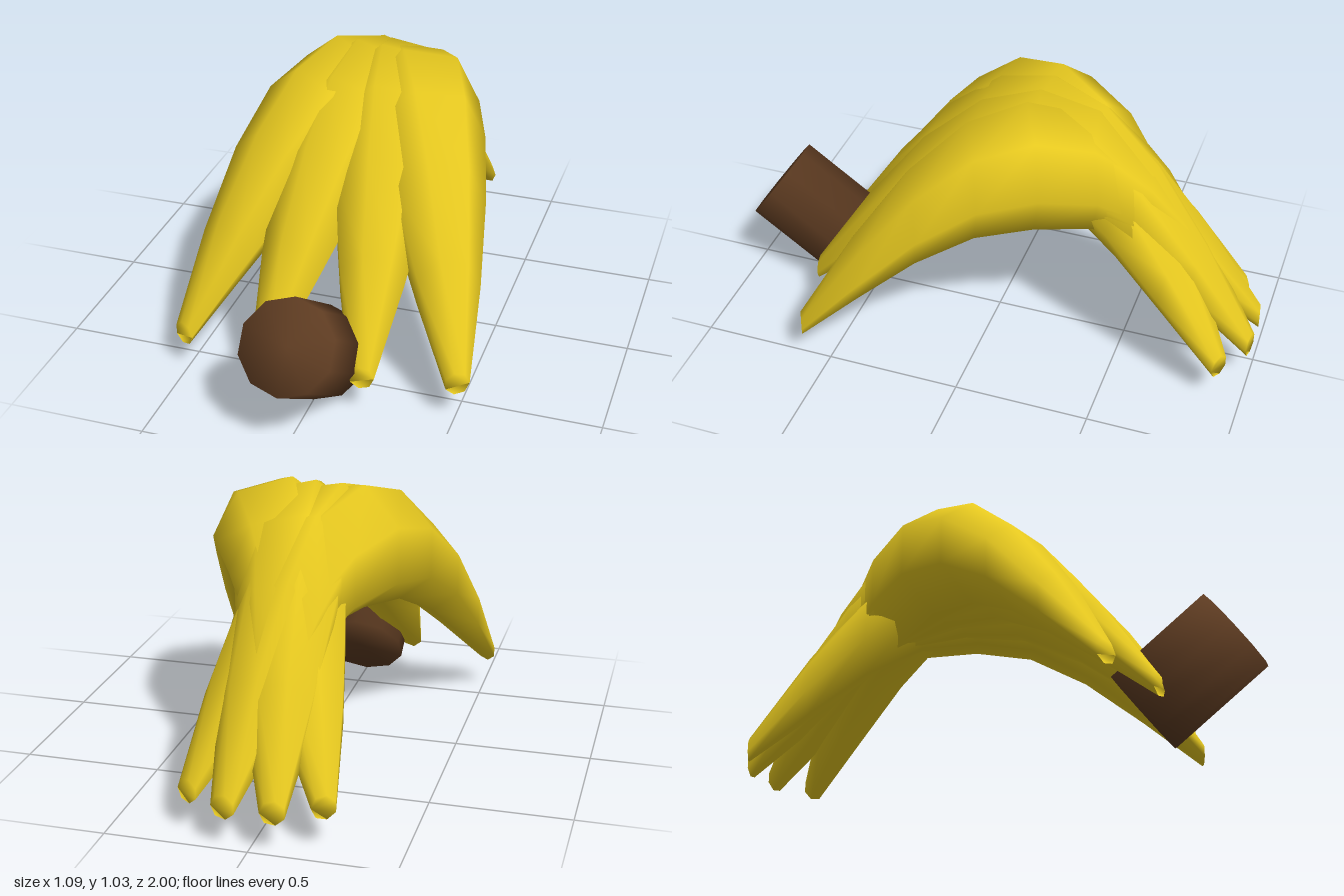
import * as THREE from 'three';
import { mergeVertices } from 'three/addons/utils/BufferGeometryUtils.js';

const SIDES = 7;

// half of the arch: [distance from middle, height, radius]
const HALF = [
  [0, 0.80, 0.232],
  [0.211, 0.756, 0.212],
  [0.422, 0.613, 0.174],
  [0.633, 0.397, 0.118],
  [0.844, 0.148, 0.044],
];

// arched fruit: upright seven-sided rings along z, closed by flat tips
function fruitGeometry() {
  const rings = [...HALF.slice(1).reverse().map(([s, y, r]) => [-s, y, r]), ...HALF];
  const pos = [];
  const index = [];
  for (const [z, y, r] of rings) {
    for (let j = 0; j < SIDES; j++) {
      const a = (j / SIDES) * Math.PI * 2;
      pos.push(Math.cos(a) * r, y + Math.sin(a) * r, z);
    }
  }
  const last = (rings.length - 1) * SIDES;
  for (let j = 0; j < SIDES; j++) {
    const n = (j + 1) % SIDES;
    for (let i = 0; i < last; i += SIDES) {
      index.push(i + j, i + n, i + SIDES + j, i + n, i + SIDES + n, i + SIDES + j);
    }
  }
  for (let j = 1; j < SIDES - 1; j++) {
    index.push(0, j + 1, j, last, last + j, last + j + 1);
  }
  const geo = new THREE.BufferGeometry();
  geo.setAttribute('position', new THREE.Float32BufferAttribute(pos, 3));
  geo.setIndex(index);
  geo.computeVertexNormals();
  return geo;
}

// ten-sided stub, shaded softly with rim normals halfway between side and cap
function stemGeometry() {
  let geo = new THREE.CylinderGeometry(0.169, 0.169, 0.43, 10);
  geo.deleteAttribute('normal');
  geo.deleteAttribute('uv');
  geo = mergeVertices(geo);
  geo.setAttribute('normal', geo.clone().scale(1, 0.78, 1).attributes.position);
  geo.normalizeNormals();
  return geo;
}

export function createModel() {
  const yellow = new THREE.MeshStandardMaterial({ color: 0xe6c81f });
  yellow.name = 'ripe yellow';
  const brown = new THREE.MeshStandardMaterial({ color: 0x5d3b21 });
  brown.name = 'stem brown';

  const model = new THREE.Group();
  model.name = 'fruitBunch';

  // four fruits fanned out, crossing near the back
  const geo = fruitGeometry();
  const fan = [
    ['innerFruit', 0.05, -0.16, 0.16],
    ['outerFruit', 0.136, -0.153, 0.455],
  ];
  for (const side of [-1, 1]) {
    for (const [name, x, z, turn] of fan) {
      const fruit = new THREE.Mesh(geo, yellow);
      fruit.name = (side > 0 ? 'left ' : 'right ') + name;
      fruit.position.set(side * x, 0, z);
      fruit.rotation.y = side * turn;
      model.add(fruit);
    }
  }

  // stem tilted up toward the front
  const stem = new THREE.Mesh(stemGeometry(), brown);
  stem.name = 'stem';
  stem.position.set(0, 0.262, 0.725);
  stem.rotation.x = 0.95;
  model.add(stem);

  return model;
}
